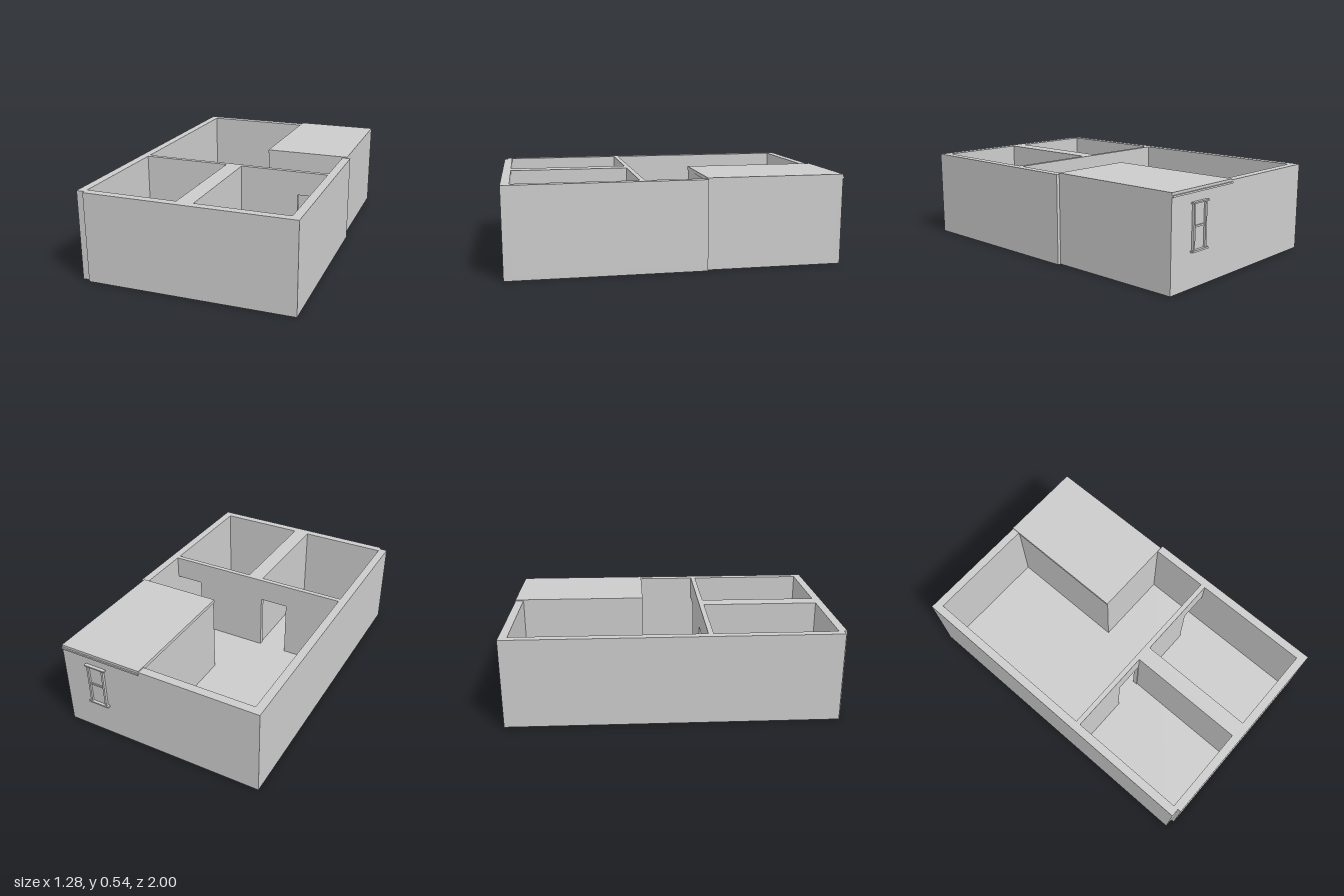
import * as THREE from 'three';

const WALL_TOP = 0.535;
const FLOOR_TOP = 0.03;
const DOOR_TOP = 0.39;

export function createModel() {
  const model = new THREE.Group();
  model.name = 'house';
  const material = new THREE.MeshStandardMaterial({ color: 0xcccccc });

  // Box given by its extents along x, y and z
  function box(parent, name, [x0, x1], [y0, y1], [z0, z1]) {
    const mesh = new THREE.Mesh(new THREE.BoxGeometry(x1 - x0, y1 - y0, z1 - z0), material);
    mesh.position.set((x0 + x1) / 2, (y0 + y1) / 2, (z0 + z1) / 2);
    mesh.name = name;
    parent.add(mesh);
  }

  // Floor slab following the stepped outline (shape y becomes -z)
  const outline = [
    [-0.64, -0.98], [0.62, -0.98], [0.62, -0.16], [0.64, -0.16],
    [0.64, 1], [-0.59, 1], [-0.59, 0.98], [-0.64, 0.98],
  ].map(([x, z]) => new THREE.Vector2(x, -z));
  const floorGeometry = new THREE.ExtrudeGeometry(new THREE.Shape(outline), {
    depth: FLOOR_TOP, bevelEnabled: false,
  }).rotateX(-Math.PI / 2);
  const floor = new THREE.Mesh(floorGeometry, material);
  floor.name = 'floor';
  model.add(floor);

  // Outer walls
  const full = [FLOOR_TOP, WALL_TOP];
  const walls = new THREE.Group();
  walls.name = 'outerWalls';
  model.add(walls);
  box(walls, 'westWall', [-0.64, -0.59], full, [-0.98, 0.98]);
  box(walls, 'eastWall', [0.59, 0.64], full, [-0.16, 0.95]);
  box(walls, 'frontWall', [-0.59, 0.64], full, [0.95, 1]);
  box(walls, 'backWall', [-0.59, 0.62], full, [-0.98, -0.93]);

  // Cross wall with two doorways, and the wall between the front rooms
  const partitions = new THREE.Group();
  partitions.name = 'partitions';
  model.add(partitions);
  const crossZ = [0.2, 0.23];
  box(partitions, 'crossWallWest', [-0.59, -0.235], [FLOOR_TOP, DOOR_TOP], crossZ);
  box(partitions, 'crossWallEast', [-0.055, 0.41], [FLOOR_TOP, DOOR_TOP], crossZ);
  box(partitions, 'doorHeader', [-0.59, 0.59], [DOOR_TOP, WALL_TOP], crossZ);
  box(partitions, 'roomDivider', [-0.05, 0.05], full, [0.23, 0.95]);

  // Roofed corner room
  const room = new THREE.Group();
  room.name = 'cornerRoom';
  model.add(room);
  const roomWall = [FLOOR_TOP, 0.52];
  box(room, 'roomSideWall', [0.1, 0.13], roomWall, [-0.93, -0.16]);
  box(room, 'roomFrontWall', [0.13, 0.59], roomWall, [-0.19, -0.16]);
  box(room, 'roomOuterWall', [0.59, 0.62], roomWall, [-0.93, -0.16]);
  box(room, 'roof', [0.096, 0.62], [0.52, 0.542], [-0.981, -0.158]);
  box(room, 'roofEdgeTrim', [0.096, 0.62], [0.517, 0.527], [-0.989, -0.98]);

  // Two-pane sash window on the back wall
  const win = new THREE.Group();
  win.name = 'window';
  model.add(win);
  box(win, 'windowHead', [0.325, 0.46], [0.46, 0.468], [-1, -0.98]);
  box(win, 'windowSill', [0.325, 0.46], [0.2, 0.21], [-1, -0.98]);
  for (const x of [0.338, 0.438]) {
    box(win, 'windowJamb', [x, x + 0.012], [0.21, 0.46], [-0.995, -0.98]);
  }
  box(win, 'windowRail', [0.35, 0.438], [0.331, 0.341], [-0.99, -0.98]);
  box(win, 'windowPane', [0.35, 0.438], [0.21, 0.46], [-0.983, -0.979]);

  return model;
}
